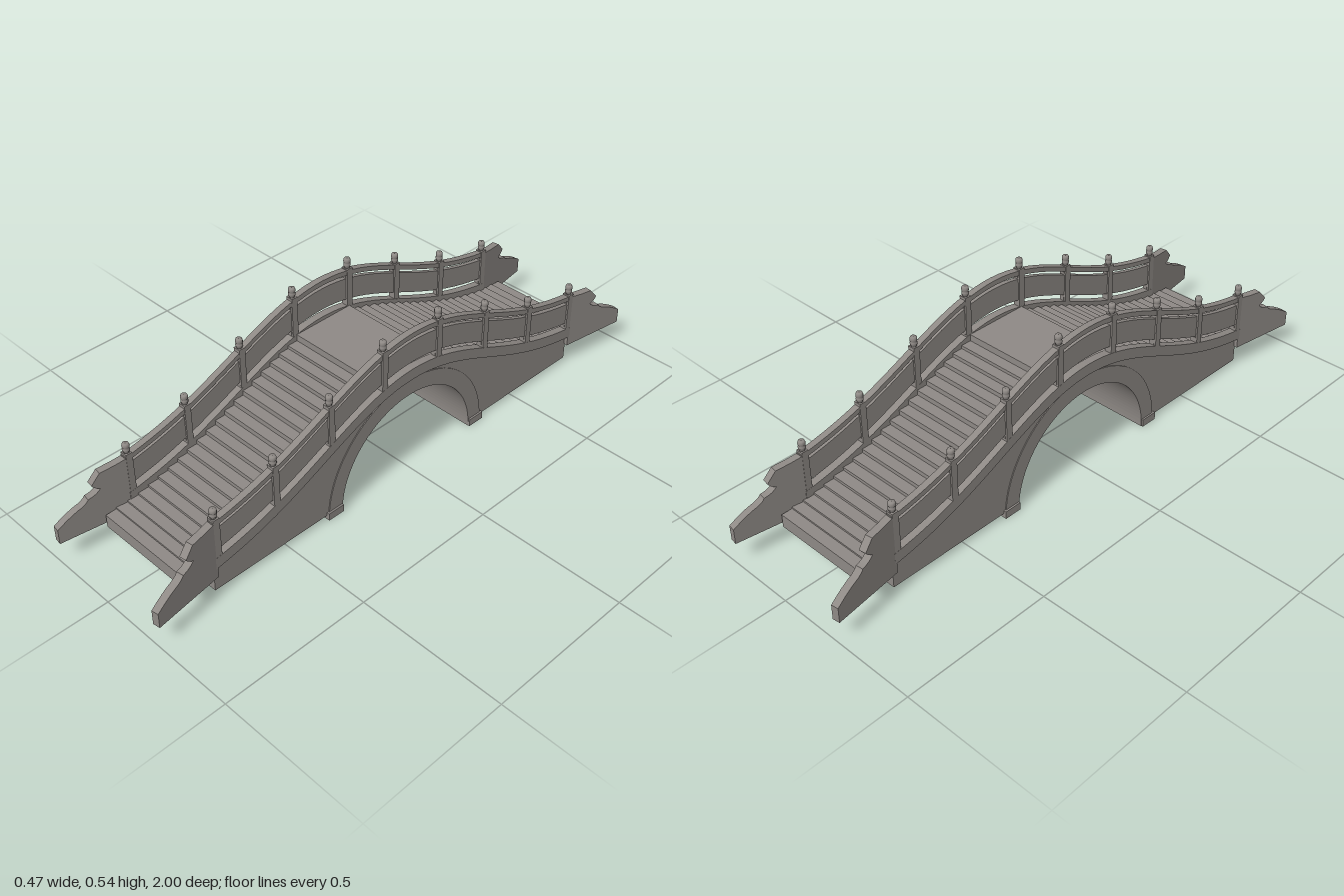
import * as THREE from 'three';

const stone = new THREE.MeshStandardMaterial({ color: 0x8e8985 });
stone.name = 'stone';

// height of the hump-backed deck along the bridge
const deck = z => 0.105 + 0.26 * Math.exp(-((z / 0.496) ** 2));

function add(parent, name, geometry, x = 0, y = 0, z = 0) {
  const mesh = new THREE.Mesh(geometry, stone);
  mesh.name = name;
  mesh.position.set(x, y, z);
  parent.add(mesh);
  return mesh;
}

// extrude a (z, y) outline across x, centred on x = 0
function slab(shape, width, curveSegments = 32) {
  const g = new THREE.ExtrudeGeometry(shape, { depth: width, bevelEnabled: false, curveSegments });
  return g.translate(0, 0, -width / 2).rotateY(-Math.PI / 2);
}

// strip that follows the deck between two heights above it
function strip(z0, z1, low, high, width, n = 48) {
  const pts = [];
  for (let i = 0; i <= n; i++) {
    const z = z0 + (z1 - z0) * i / n;
    pts.push(new THREE.Vector2(z, deck(z) + low));
  }
  for (let i = n; i >= 0; i--) {
    const z = z0 + (z1 - z0) * i / n;
    pts.push(new THREE.Vector2(z, deck(z) + high));
  }
  return slab(new THREE.Shape(pts), width);
}

export function createModel() {
  const bridge = new THREE.Group();
  bridge.name = 'archedFootbridge';
  const R = 0.28, base = 0.015, end = 0.77;

  // solid body with the arch cut out
  const body = new THREE.Shape();
  const a = Math.asin(base / R);
  body.moveTo(-end, base);
  body.lineTo(-R * Math.cos(a), base);
  body.absarc(0, 0, R, Math.PI - a, a, true);
  body.lineTo(end, base);
  for (let i = 0; i <= 48; i++) {
    const z = end - 2 * end * i / 48;
    body.lineTo(z, deck(z) - 0.015);
  }
  add(bridge, 'body', slab(body, 0.376));

  // arch ring, slightly proud of the walls and standing on the ground
  const ring = new THREE.Shape();
  ring.moveTo(0.335, 0);
  ring.absarc(0, 0, 0.335, 0, Math.PI, false);
  ring.lineTo(-R, 0);
  ring.absarc(0, 0, R, Math.PI, 0, true);
  add(bridge, 'archRing', slab(ring, 0.382));
  for (const s of [-1, 1]) add(bridge, 'archFoot', new THREE.BoxGeometry(0.394, 0.026, 0.06), 0, 0.013, s * 0.311);

  // top landing and the flights of steps
  add(bridge, 'landing', new THREE.BoxGeometry(0.36, 0.04, 0.224), 0, 0.35, 0);
  const steps = 20, tread = (0.856 - 0.112) / steps;
  for (const s of [-1, 1]) {
    for (let i = 0; i < steps; i++) {
      const z = 0.112 + (i + 0.5) * tread;
      const top = deck(z) - 0.012 * (i / steps) ** 2;
      const h = i === steps - 1 ? top - 0.065 : 0.045;
      add(bridge, 'step', new THREE.BoxGeometry(0.37, h, tread), 0, top - h / 2, s * z);
    }
  }

  // one balustrade: curb, panel, handrail and posts
  const postZ = [-0.757, -0.541, -0.327, -0.115, 0.115, 0.327, 0.541, 0.757];
  const curb = strip(-end, end, -0.02, 0.018, 0.026);
  const panel = strip(-0.757, 0.757, 0.04, 0.116, 0.014);
  const handrail = strip(-end, end, 0.13, 0.147, 0.022);
  const shaft = new THREE.BoxGeometry(0.025, 0.165, 0.022);
  const inset = new THREE.BoxGeometry(0.012, 0.12, 0.024);
  const cap = new THREE.LatheGeometry([
    [0, 0], [0.009, 0], [0.009, 0.005], [0.0115, 0.008], [0.0115, 0.014], [0.009, 0.017],
    [0.0115, 0.02], [0.0115, 0.027], [0.0095, 0.033], [0, 0.033],
  ].map(p => new THREE.Vector2(...p)), 12);

  // scroll-shaped end wing
  const wing = new THREE.Shape();
  wing.moveTo(0, 0.075);
  wing.lineTo(0.235, 0.075);
  wing.lineTo(0.235, 0.126);
  wing.quadraticCurveTo(0.19, 0.157, 0.155, 0.168);
  wing.quadraticCurveTo(0.135, 0.178, 0.132, 0.187);
  wing.quadraticCurveTo(0.105, 0.19, 0.09, 0.208);
  wing.quadraticCurveTo(0.105, 0.212, 0.116, 0.229);
  wing.lineTo(0.087, 0.262);
  wing.lineTo(0.04, 0.266);
  wing.lineTo(0, 0.272);
  const wingGeo = slab(wing, 0.024, 8);

  for (const s of [-1, 1]) {
    const side = new THREE.Group();
    side.name = s > 0 ? 'leftBalustrade' : 'rightBalustrade';
    side.position.x = s * 0.19;
    bridge.add(side);
    add(side, 'curb', curb);
    add(side, 'panel', panel);
    add(side, 'handrail', handrail);
    for (const z of postZ) {
      const y = deck(z);
      add(side, 'post', shaft, 0, y + 0.0705, z);
      add(side, 'postInset', inset, 0, y + 0.08, z);
      add(side, 'postCap', cap, 0, y + 0.153, z);
    }
    // wings splay outward at both ends
    for (const e of [-1, 1]) {
      const w = add(side, 'endWing', wingGeo, 0, 0, e * 0.765);
      w.rotation.y = (e > 0 ? 0 : Math.PI) + s * e * 0.145;
    }
  }
  return bridge;
}
